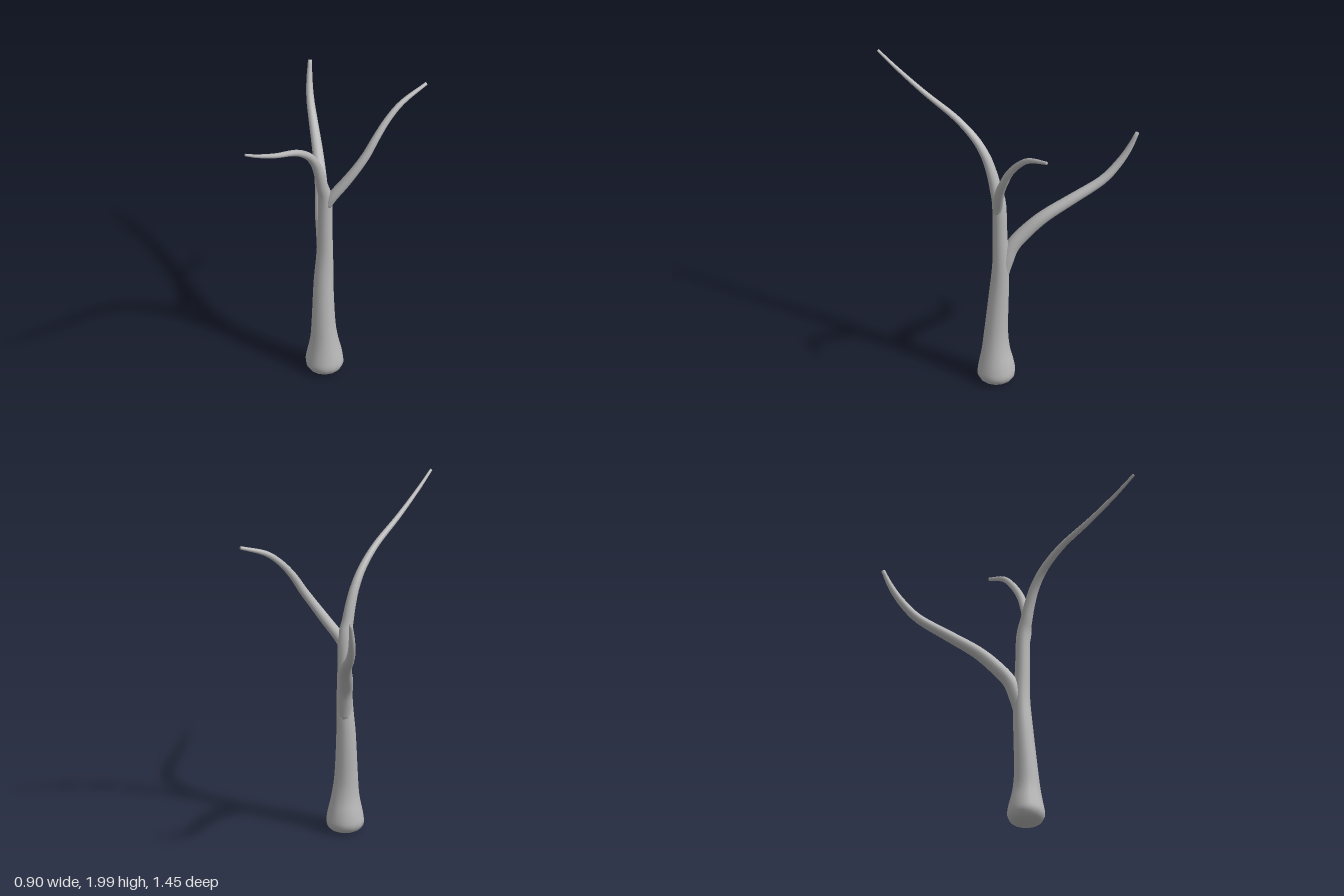
import * as THREE from 'three';

// Smooth tapered limb through [x, y, z, radius] stations, closed at both ends
function limb(name, stations, material, sides = 14, steps = 4) {
  const path = new THREE.CatmullRomCurve3(
    stations.map(([x, y, z]) => new THREE.Vector3(x, y, z)), false, 'catmullrom', 0.5);
  const girth = new THREE.SplineCurve(stations.map((s, i) => new THREE.Vector2(i, s[3])));
  const rings = (stations.length - 1) * steps;
  const pos = [], index = [];
  const u = new THREE.Vector3(1, 0, 0), v = new THREE.Vector3();

  for (let i = 0; i <= rings; i++) {
    const t = i / rings;
    const p = path.getPoint(t), dir = path.getTangent(t), r = girth.getPoint(t).y;
    u.addScaledVector(dir, -u.dot(dir)).normalize(); // carry the frame along without twist
    v.crossVectors(dir, u);
    for (let j = 0; j < sides; j++) {
      const a = (j / sides) * Math.PI * 2;
      const q = p.clone().addScaledVector(u, r * Math.cos(a)).addScaledVector(v, r * Math.sin(a));
      pos.push(q.x, q.y, q.z);
      if (i < rings) {
        const k = (j + 1) % sides, b = i * sides, c = b + sides;
        index.push(b + j, b + k, c + j, b + k, c + k, c + j);
      }
    }
  }

  // End caps
  const first = path.getPoint(0), last = path.getPoint(1);
  const n = pos.length / 3, top = rings * sides;
  pos.push(first.x, first.y, first.z, last.x, last.y, last.z);
  for (let j = 0; j < sides; j++) {
    const k = (j + 1) % sides;
    index.push(n, k, j, n + 1, top + j, top + k);
  }

  const geometry = new THREE.BufferGeometry();
  geometry.setAttribute('position', new THREE.Float32BufferAttribute(pos, 3));
  geometry.setIndex(index);
  geometry.computeVertexNormals();
  const mesh = new THREE.Mesh(geometry, material);
  mesh.name = name;
  return mesh;
}

export function createModel() {
  const tree = new THREE.Group();
  tree.name = 'bareTree';
  const bark = new THREE.MeshStandardMaterial({ color: 0xb8b8b8 });
  bark.name = 'greyBark';

  // Trunk with a swollen foot, bending forward into the longest branch
  tree.add(limb('trunkAndFrontBranch', [
    [0.09, 0.005, -0.08, 0.06], [0.09, 0.022, -0.08, 0.092], [0.09, 0.06, -0.08, 0.11],
    [0.09, 0.12, -0.08, 0.103], [0.09, 0.22, -0.077, 0.082], [0.085, 0.35, -0.077, 0.069],
    [0.076, 0.6, -0.09, 0.058], [0.077, 0.8, -0.102, 0.049], [0.08, 1.0, -0.099, 0.043],
    [0.083, 1.2, -0.095, 0.041], [0.08, 1.3, -0.07, 0.035], [0.079, 1.4, -0.042, 0.031],
    [0.078, 1.5, 0, 0.027], [0.078, 1.6, 0.075, 0.023], [0.078, 1.7, 0.205, 0.019],
    [0.078, 1.8, 0.405, 0.015], [0.078, 1.91, 0.595, 0.011], [0.078, 1.993, 0.72, 0.008],
  ], bark));

  // Upper branch, sweeping back and to the left
  tree.add(limb('upperBackBranch', [
    [0.1, 1.16, -0.095, 0.026], [0.125, 1.22, -0.11, 0.031], [0.18, 1.31, -0.148, 0.03],
    [0.235, 1.41, -0.193, 0.027], [0.275, 1.5, -0.24, 0.025], [0.305, 1.6, -0.295, 0.022],
    [0.335, 1.7, -0.375, 0.019], [0.373, 1.78, -0.47, 0.016], [0.437, 1.846, -0.62, 0.01],
  ], bark));

  // Lower branch, sweeping back and to the right
  tree.add(limb('lowerBackBranch', [
    [0.068, 0.72, -0.112, 0.035], [0.055, 0.82, -0.128, 0.043], [0.03, 0.91, -0.155, 0.042],
    [-0.02, 1.0, -0.215, 0.041], [-0.085, 1.1, -0.305, 0.037], [-0.19, 1.2, -0.43, 0.032],
    [-0.305, 1.3, -0.555, 0.027], [-0.375, 1.4, -0.625, 0.023], [-0.415, 1.5, -0.675, 0.018],
    [-0.438, 1.605, -0.715, 0.012],
  ], bark));

  return tree;
}
